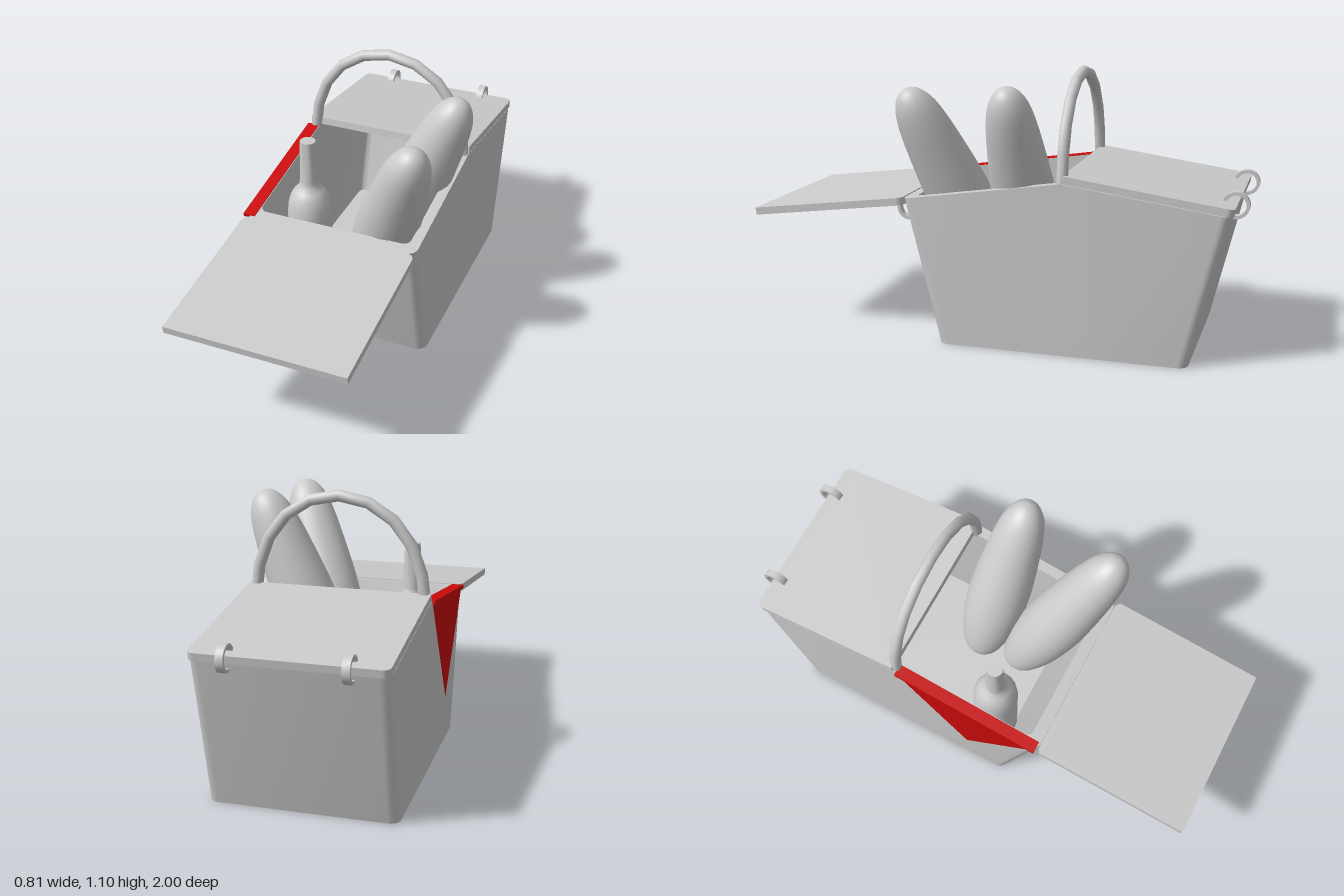
import * as THREE from 'three';
import { toCreasedNormals } from 'three/addons/utils/BufferGeometryUtils.js';

const CX = -0.031;     // centre of the basket across x
const HALF = 0.363;    // half width of the basket
const RIDGE = { z: -0.3, y: 0.685 };

const grey = new THREE.MeshStandardMaterial({ color: 0xcccccc });
const greyDouble = new THREE.MeshStandardMaterial({ color: 0xcccccc, side: THREE.DoubleSide });
const red = new THREE.MeshStandardMaterial({ color: 0xcc0a0a, side: THREE.DoubleSide });

function add(group, name, geometry, material = grey) {
  const mesh = new THREE.Mesh(geometry, material);
  mesh.name = name;
  group.add(mesh);
  return mesh;
}

// Height of the sloping rim: it falls from the ridge to both ends
const rimY = z => z > RIDGE.z
  ? RIDGE.y - (z - RIDGE.z) * 0.151
  : RIDGE.y - (RIDGE.z - z) * 0.139;

// Rounded rectangle in x and z, with an extra point on each long side at the ridge
function ring(half, back, front, r, yAt) {
  const pts = [];
  const corner = (x, z, start) => {
    for (let i = 0; i <= 5; i++) {
      const a = start + (i / 5) * Math.PI / 2;
      pts.push([x + r * Math.cos(a), z + r * Math.sin(a)]);
    }
  };
  corner(half - r, front - r, 0);
  corner(-half + r, front - r, Math.PI / 2);
  pts.push([-half, RIDGE.z]);
  corner(-half + r, back + r, Math.PI);
  corner(half - r, back + r, Math.PI * 1.5);
  pts.push([half, RIDGE.z]);
  return pts.map(([x, z]) => [x + CX, yAt(z), z]);
}

// Skin over a list of rings; an optional cap closes the last one
function loft(rings, cap = false) {
  const n = rings[0].length, pos = rings.flat(2), index = [];
  for (let k = 0; k < rings.length - 1; k++) {
    for (let i = 0; i < n; i++) {
      const a = k * n + i, b = k * n + (i + 1) % n;
      index.push(a, a + n, b, b, a + n, b + n);
    }
  }
  if (cap) {
    const o = (rings.length - 1) * n;
    for (let i = 1; i < n - 1; i++) index.push(o, o + i + 1, o + i);
  }
  const g = new THREE.BufferGeometry();
  g.setAttribute('position', new THREE.Float32BufferAttribute(pos, 3));
  g.setIndex(index);
  return toCreasedNormals(g, 0.6);
}

// Flat lid: square end at the origin, rounded end along local +y, thickness along local +z
function lidGeometry() {
  const w = HALF, l = 0.655, r = 0.028;
  const s = new THREE.Shape();
  s.moveTo(-w, 0);
  s.lineTo(w, 0);
  s.lineTo(w, l - r);
  s.absarc(w - r, l - r, r, 0, Math.PI / 2);
  s.absarc(-w + r, l - r, r, Math.PI / 2, Math.PI);
  s.lineTo(-w, 0);
  return new THREE.ExtrudeGeometry(s, { depth: 0.03, bevelEnabled: false, curveSegments: 6 });
}

// Flat band ring with its axis along x
function hingeRingGeometry() {
  const s = new THREE.Shape().absarc(0, 0, 0.052, 0, Math.PI * 2);
  s.holes.push(new THREE.Path().absarc(0, 0, 0.039, 0, Math.PI * 2, true));
  const g = new THREE.ExtrudeGeometry(s, { depth: 0.03, bevelEnabled: false, curveSegments: 12 });
  g.translate(0, 0, -0.015);
  g.rotateY(Math.PI / 2);
  return toCreasedNormals(g, 0.6);
}

export function createModel() {
  const model = new THREE.Group();
  model.name = 'picnicBasket';

  // Hollow body with flared ends and a raised floor
  add(model, 'basketBody', loft([
    ring(HALF, -0.8, 0.2, 0.04, () => 0),
    ring(HALF, -0.943, 0.348, 0.04, rimY),
    ring(HALF - 0.042, -0.89, 0.3, 0.03, rimY),
    ring(HALF - 0.042, -0.76, 0.15, 0.03, () => 0.08),
  ]), greyDouble);
  add(model, 'basketFloor', loft([ring(HALF - 0.002, -0.816, 0.216, 0.04, () => 0.08)], true), greyDouble);

  // Closed back lid and opened front lid
  const lid = lidGeometry();
  const backLid = add(model, 'backLid', lid);
  backLid.position.set(CX, RIDGE.y + 0.002, RIDGE.z);
  backLid.rotation.x = -(Math.PI / 2 + 0.138);
  const frontLid = add(model, 'frontLid', lid);
  frontLid.position.set(CX, 0.478, 0.996);
  frontLid.rotation.x = -(Math.PI / 2 - 0.127);

  // Hinge rings, a pair at each end
  const hinge = hingeRingGeometry();
  for (const x of [-0.255, 0.19]) {
    add(model, 'frontHingeRing', hinge).position.set(x, 0.524, 0.367);
    add(model, 'backHingeRing', hinge).position.set(x, 0.617, -0.945);
  }

  // Arched handle over the ridge
  const half = [[0.34, 0.67], [0.322, 0.8], [0.277, 0.91], [0.203, 1.0], [0.108, 1.056]];
  const arch = [
    ...half.map(([x, y]) => new THREE.Vector3(CX - x, y, RIDGE.z)),
    new THREE.Vector3(CX, 1.076, RIDGE.z),
    ...half.slice().reverse().map(([x, y]) => new THREE.Vector3(CX + x, y, RIDGE.z)),
  ];
  add(model, 'handle', new THREE.TubeGeometry(new THREE.CatmullRomCurve3(arch), 10, 0.023, 10));

  // Bottle
  const profile = [[0, 0.08], [0.093, 0.08], [0.093, 0.48], [0.089, 0.53], [0.077, 0.572],
    [0.06, 0.598], [0.042, 0.614], [0.038, 0.64], [0.032, 0.825], [0, 0.825]];
  const bottle = new THREE.LatheGeometry(profile.map(p => new THREE.Vector2(...p)), 20);
  add(model, 'bottle', toCreasedNormals(bottle, 0.9)).position.set(-0.235, 0, 0.078);

  // Two loaves leaning out of the basket, thickest below the middle and blunt at the top
  const crust = new THREE.SplineCurve([[0, -0.43], [0.055, -0.41], [0.09, -0.35], [0.119, -0.22],
    [0.129, -0.08], [0.125, 0.05], [0.113, 0.19], [0.1, 0.305], [0.082, 0.39], [0.056, 0.442],
    [0.028, 0.467], [0, 0.474]].map(p => new THREE.Vector2(...p)));
  const loafGeometry = new THREE.LatheGeometry(
    crust.getPoints(28).map(p => p.setX(Math.max(0, p.x))), 24);
  const up = new THREE.Vector3(0, 1, 0);
  const loaf = (name, centre, lean) => {
    const m = add(model, name, loafGeometry);
    m.position.set(...centre);
    m.quaternion.setFromUnitVectors(up, new THREE.Vector3(...lean).normalize());
  };
  loaf('frontLoaf', [0.16, 0.603, 0.175], [0.37, 1, 0.37]);
  loaf('backLoaf', [0.17, 0.61, -0.108], [0.43, 1, 0.05]);

  // Cloth folded over the side rim, with a hanging corner
  const cloth = new THREE.Group();
  cloth.name = 'cloth';
  model.add(cloth);
  const fold = add(cloth, 'clothFold', new THREE.BoxGeometry(0.05, 0.014, 0.635), red);
  fold.position.set(-0.38, rimY(0.025) - 0.004, 0.025);
  fold.rotation.x = 0.15;
  const flap = new THREE.BufferGeometry();
  flap.setAttribute('position', new THREE.Float32BufferAttribute([
    -0.396, rimY(-0.29), -0.29, -0.396, 0.19, 0.02, -0.396, rimY(0.335), 0.335,
  ], 3));
  flap.computeVertexNormals();
  add(cloth, 'clothFlap', flap, red);

  return model;
}
